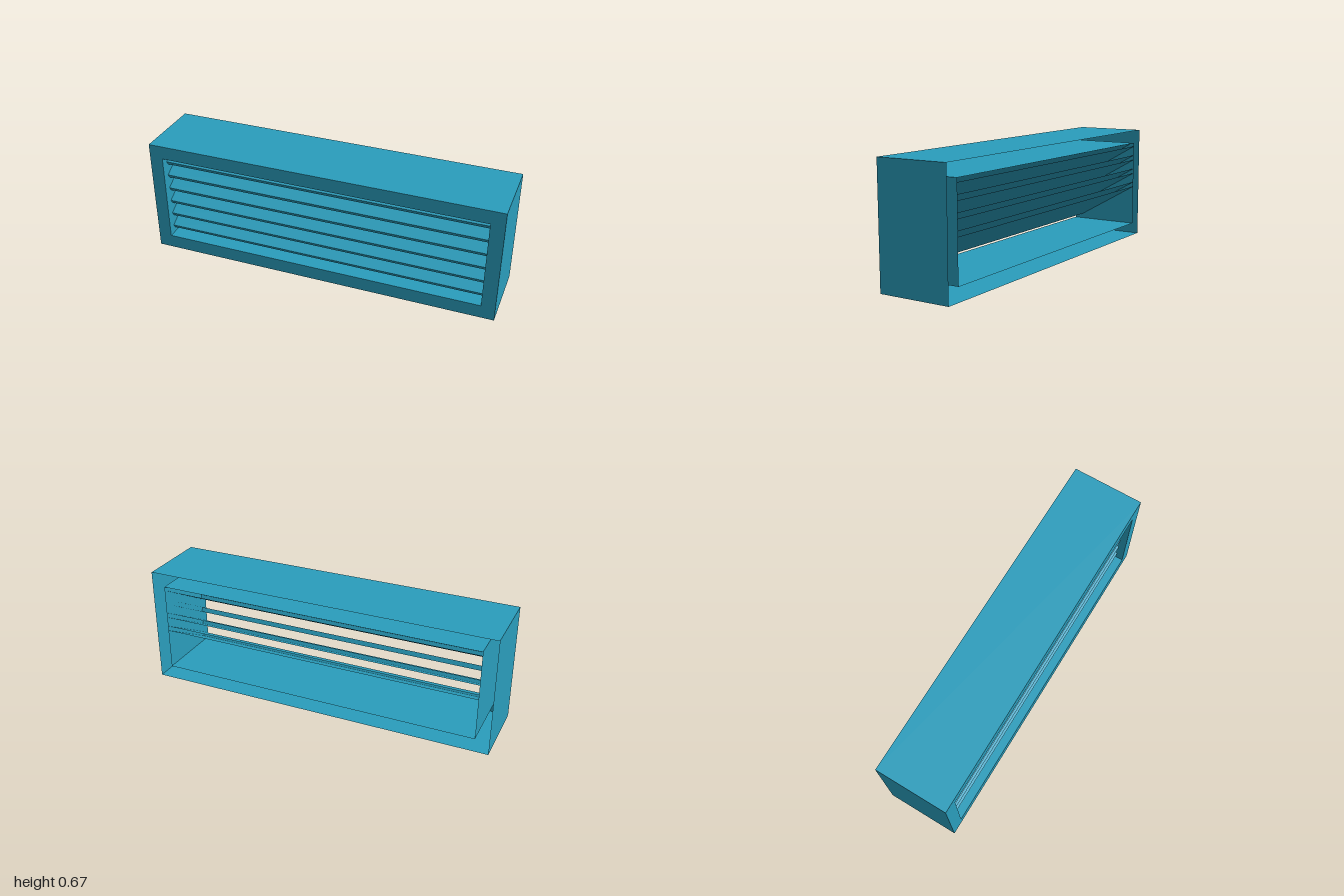
import * as THREE from 'three';

const material = new THREE.MeshStandardMaterial({
  color: 0x2a9dbc, side: THREE.DoubleSide, flatShading: true,
});

const HALF_DEPTH = 0.207;
const OUTER = { x: 1, bottom: 0, top: 0.667 };
const INNER = { x: 0.923, bottom: 0.077, top: 0.59 };

// Sheet metal strip: sweeps a polyline of Vector3 along one direction.
function sweptSheet(points, sweep) {
  const positions = [];
  for (let i = 0; i < points.length - 1; i++) {
    const a = points[i], b = points[i + 1];
    const c = b.clone().add(sweep), d = a.clone().add(sweep);
    for (const p of [a, b, c, a, c, d]) positions.push(p.x, p.y, p.z);
  }
  const geometry = new THREE.BufferGeometry();
  geometry.setAttribute('position', new THREE.Float32BufferAttribute(positions, 3));
  geometry.computeVertexNormals();
  return geometry;
}

function rectangle({ x, bottom, top }) {
  return [[-x, bottom], [x, bottom], [x, top], [-x, top], [-x, bottom]];
}

// Four walls running from the front plane to the open back.
function walls(rect) {
  const loop = rectangle(rect).map(([x, y]) => new THREE.Vector3(x, y, HALF_DEPTH));
  return sweptSheet(loop, new THREE.Vector3(0, 0, -2 * HALF_DEPTH));
}

// Hollow sloping blade, cut off at the duct roof and at the open back.
function slat(bottomY) {
  const angle = Math.PI / 6, thickness = 0.025;
  const slope = Math.tan(angle);
  const low = new THREE.Vector3(-INNER.x, bottomY, 0.155);
  const high = low.clone().add(
    new THREE.Vector3(0, Math.cos(angle), Math.sin(angle)).multiplyScalar(thickness));
  const rear = (p) => {
    const run = Math.min(p.z + HALF_DEPTH, (INNER.top - p.y) / slope);
    return new THREE.Vector3(p.x, p.y + run * slope, p.z - run);
  };
  return sweptSheet([rear(low), low, high, rear(high)],
    new THREE.Vector3(2 * INNER.x, 0, 0));
}

export function createModel() {
  const model = new THREE.Group();
  model.name = 'louveredVent';
  const add = (name, geometry) => {
    const mesh = new THREE.Mesh(geometry, material);
    mesh.name = name;
    model.add(mesh);
    return mesh;
  };

  // Front flange around the opening
  const toPoints = (r) => rectangle(r).slice(0, 4).map(([x, y]) => new THREE.Vector2(x, y));
  const flange = new THREE.Shape(toPoints(OUTER));
  flange.holes.push(new THREE.Path(toPoints(INNER)));
  add('frontFlange', new THREE.ShapeGeometry(flange)).position.z = HALF_DEPTH;

  // Casing and inner duct, both open at the back
  add('outerCasing', walls(OUTER));
  add('innerDuct', walls(INNER));

  // Six louver slats, sloping down towards the front
  for (let i = 0; i < 6; i++) add(`slat${i + 1}`, slat(0.105 + i * 0.085));

  return model;
}
